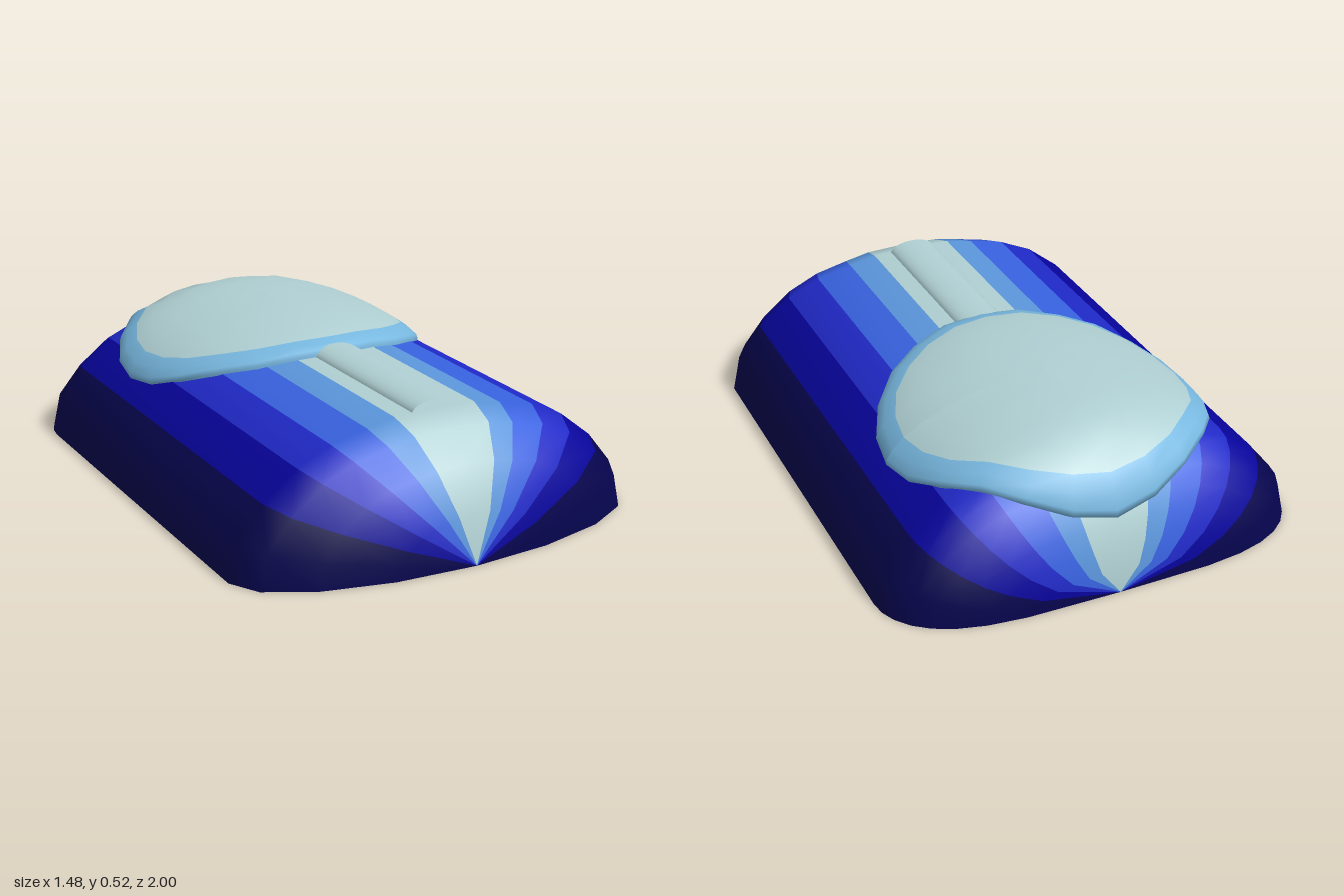
import * as THREE from 'three';

const mat = (name, color) => {
  const m = new THREE.MeshStandardMaterial({ color });
  m.name = name;
  return m;
};

// half cross-section of the shell, from the crest to the base
const half = [[0, 0.445], [0.15, 0.44], [0.25, 0.42], [0.38, 0.39], [0.5, 0.335], [0.62, 0.24], [0.71, 0.13], [0.74, 0]];
const profile = [...half.slice(1).reverse().map(([x, y]) => [-x, y]), ...half];
const bandOf = [5, 5, 4, 3, 2, 1, 0, 0, 1, 2, 3, 4, 5, 5];
const FLAT = 0.73, FRONT = 0.265, BACK = 0.27;

// width and height scale of the cross-section at z; the back is squarer in plan
function scaleAt(z) {
  const t = Math.max(0, Math.abs(z) - FLAT) / (z > 0 ? FRONT : BACK);
  const sy = Math.sqrt(Math.max(0, 1 - t * t));
  return [z > 0 ? sy : Math.sqrt(sy), sy];
}

// height of the shell above a point on the ground
function heightAt(x, z) {
  const [sx, sy] = scaleAt(z);
  const u = Math.abs(x) / Math.max(sx, 1e-4);
  for (let i = 0; i < half.length - 1; i++) {
    const [x0, y0] = half[i], [x1, y1] = half[i + 1];
    if (u <= x1) return sy * (y0 + (y1 - y0) * (u - x0) / (x1 - x0));
  }
  return 0;
}

// smooth skin over a grid of points; columns or rows pick the material
function skin(rows, materialFor) {
  const n = rows[0].length;
  const buckets = [];
  for (let j = 0; j < rows.length - 1; j++) {
    for (let i = 0; i < n - 1; i++) {
      const a = j * n + i, b = a + 1, c = a + n, d = c + 1;
      (buckets[materialFor(j, i)] ??= []).push(a, c, b, b, c, d);
    }
  }
  const g = new THREE.BufferGeometry();
  g.setAttribute('position', new THREE.Float32BufferAttribute(rows.flat(2), 3));
  g.setIndex(buckets.flat());
  let start = 0;
  buckets.forEach((b, k) => {
    g.addGroup(start, b.length, k);
    start += b.length;
  });
  g.computeVertexNormals();
  return g;
}

export function createModel() {
  const group = new THREE.Group();
  const pale = mat('paleTeal', 0xb0d0d3);
  const rimBlue = mat('skyBlue', 0x78b8e0);
  const bands = [pale, mat('softBlue', 0x5b96dc), mat('midBlue', 0x3862e0), mat('strongBlue', 0x2029c8),
    mat('deepBlue', 0x07049c), mat('navy', 0x06044e)];
  const add = (name, geometry, material) => {
    const m = new THREE.Mesh(geometry, material);
    m.name = name;
    group.add(m);
    return m;
  };

  // striped shell with rounded ends
  const stations = [];
  for (let k = 8; k >= 0; k--) stations.push(-FLAT - BACK * Math.sin(k * Math.PI / 16));
  for (let k = 0; k <= 4; k++) stations.push(FLAT + FRONT * Math.sin(k * Math.PI / 8));
  const rows = stations.map(z => {
    const [sx, sy] = scaleAt(z);
    return profile.map(([x, y]) => [x * sx, y * sy, z]);
  });
  add('shell', skin(rows, (j, i) => bandOf[i]), bands);

  // flat underside
  const side = s => stations.map(z => new THREE.Vector2(s * 0.74 * scaleAt(z)[0], z));
  const outline = [...side(1), ...side(-1).slice(1, -1).reverse()];
  add('underside', new THREE.ShapeGeometry(new THREE.Shape(outline)).rotateX(Math.PI / 2), bands[5]);

  // round cushion that follows the shell, raised along its normal
  const radii = [0, 0.2, 0.4, 0.6, 0.75, 0.86, 0.93, 0.98, 1, 1];
  const SEG = 24;
  const cushion = radii.map((r, k) => {
    const ring = [];
    for (let i = 0; i <= SEG; i++) {
      const a = i / SEG * Math.PI * 2, e = 0.03;
      const x = 0.56 * r * Math.cos(a), z = -0.42 - 0.53 * r * Math.sin(a);
      const y = heightAt(x, z);
      const n = new THREE.Vector3(
        (heightAt(x - e, z) - heightAt(x + e, z)) / (2 * e), 1,
        (heightAt(x, z - e) - heightAt(x, z + e)) / (2 * e)).normalize();
      const lift = k === radii.length - 1 ? -0.03 : 0.008 + 0.067 * Math.sqrt(1 - r * r);
      ring.push([x + n.x * lift, y + n.y * lift, z + n.z * lift]);
    }
    return ring;
  });
  add('cushion', skin(cushion, j => (j < 5 ? 0 : 1)), [pale, rimBlue]);

  // raised ridge leading forward from the cushion, an open half tube
  const ridge = new THREE.CylinderGeometry(1, 1, 0.83, 12, 1, true, Math.PI / 2, Math.PI);
  ridge.rotateX(Math.PI / 2).scale(0.085, 0.037, 1).translate(0, 0.438, 0.315);
  add('ridge', ridge, pale);

  return group;
}
